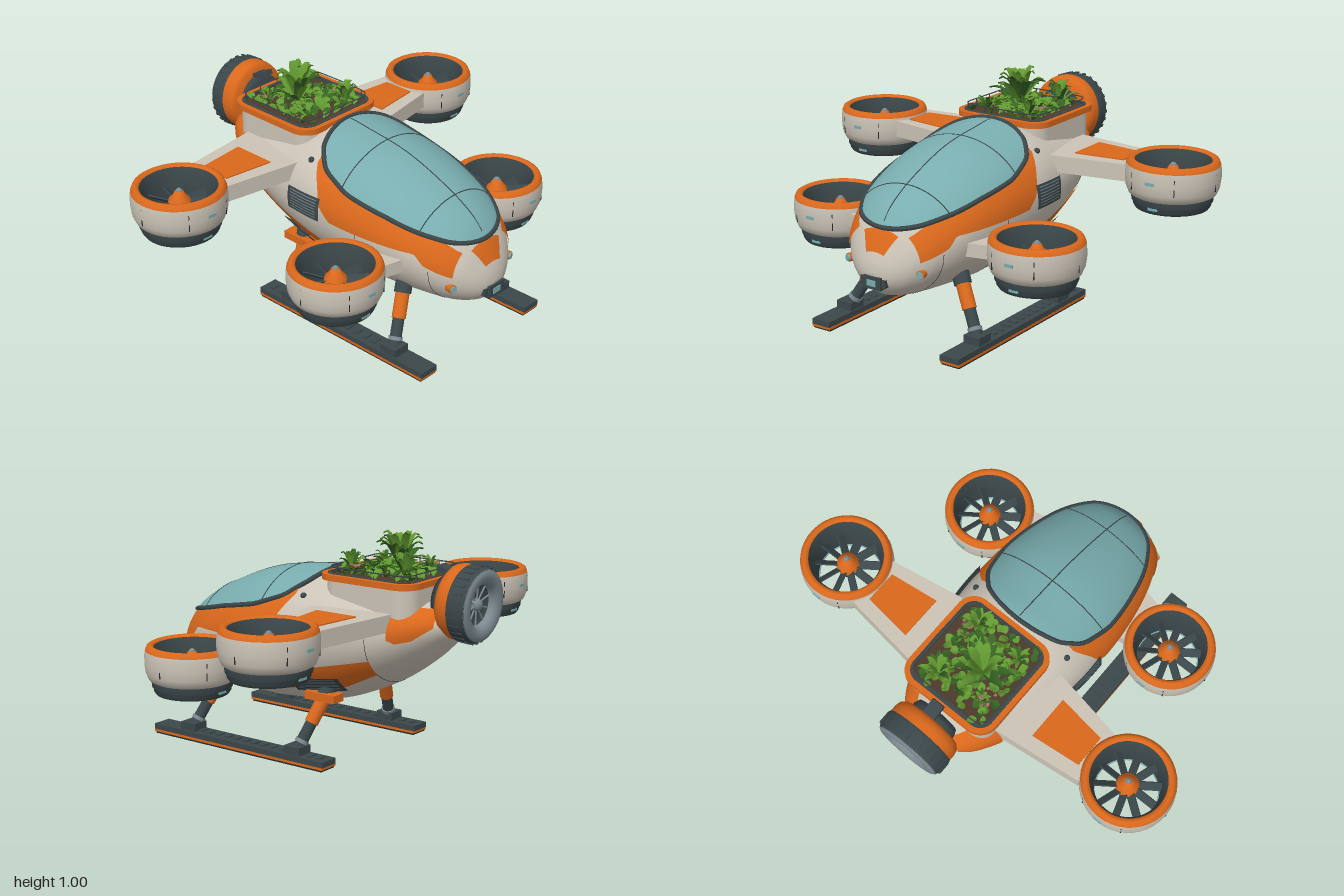
import * as THREE from 'three';
import { mergeGeometries, mergeVertices } from 'three/addons/utils/BufferGeometryUtils.js';

const V = (x, y, z) => new THREE.Vector3(x, y, z), { lerp, clamp } = THREE.MathUtils, PI = Math.PI;
const count = (n, f) => Array.from({ length: n }, (_, i) => f(i));
const paint = (name, color) => new THREE.MeshStandardMaterial({ name, color, side: THREE.DoubleSide });
const M = {
  cream: paint('cream', 0xcbc3b6), orange: paint('orange', 0xda681c), dark: paint('dark slate', 0x3b474a),
  black: paint('seam black', 0x23292b), glass: paint('teal glass', 0x79adaf), steel: paint('steel', 0x7c8a90),
  soil: paint('soil', 0x4d3a2b), leaf: paint('leaf green', 0x629a30), deep: paint('deep green', 0x376424), bloom: paint('bloom', 0xb8656b),
};

// Hull sections: z, bottom, widest height, top, half width
const S = [
  [-0.69, 0.639, 0.64, 0.641, 0.002], [-0.68, 0.59, 0.64, 0.68, 0.08], [-0.63, 0.535, 0.635, 0.715, 0.15],
  [-0.55, 0.46, 0.62, 0.735, 0.21], [-0.4, 0.355, 0.585, 0.755, 0.275], [-0.2, 0.26, 0.56, 0.79, 0.315],
  [-0.06, 0.215, 0.55, 0.815, 0.33], [0.05, 0.2, 0.54, 0.805, 0.335], [0.28, 0.185, 0.51, 0.77, 0.325],
  [0.5, 0.2, 0.47, 0.69, 0.285], [0.65, 0.218, 0.42, 0.605, 0.225], [0.72, 0.24, 0.39, 0.525, 0.168],
  [0.76, 0.268, 0.365, 0.45, 0.11], [0.782, 0.305, 0.35, 0.395, 0.055], [0.79, 0.349, 0.35, 0.351, 0.002],
];
// Smoothly interpolated section values at z
function section(z) {
  const i = Math.max(S.findLastIndex((r, k) => z > r[0] && k < S.length - 1), 0), [A, B] = [S[i], S[i + 1]];
  const P = S[Math.max(i - 1, 0)], N = S[Math.min(i + 2, S.length - 1)], h = B[0] - A[0], t = clamp((z - A[0]) / h, 0, 1);
  return [1, 2, 3, 4].map((k) => {
    const m0 = h * (B[k] - P[k]) / (B[0] - P[0]), m1 = h * (N[k] - A[k]) / (N[0] - A[0]), d = A[k] - B[k];
    return A[k] + t * (m0 + t * (-3 * d - 2 * m0 - m1 + t * (2 * d + m0 + m1)));
  });
}
// Hull point at z and angle, lifted along the normal
function hull(z, a, off = 0) {
  const [b, m, t, w] = section(z), c = Math.cos(a), s = Math.sin(a), e = 0.003;
  const p = V(w * Math.sign(c) * Math.abs(c) ** (s < 0 ? 1.15 : 1), m + s * (s > 0 ? t - m : m - b), z);
  if (!off) return p;
  const da = hull(z, a + e).sub(hull(z, a - e)), dz = hull(z + e, a).sub(hull(z - e, a));
  return p.addScaledVector(da.cross(dz).normalize(), off);
}
function angleAt(z, y) {
  const [b, m, t] = section(z);
  return Math.asin(clamp((y - m) / (y > m ? t - m : m - b), -1, 1));
}
// Piecewise linear value through [z, y] points, z falling
function along(pts, z) {
  const i = Math.max(pts.findLastIndex((p, k) => z < p[0] && k < pts.length - 1), 0), [a, b] = [pts[i], pts[i + 1]];
  return lerp(a[1], b[1], clamp((z - a[0]) / (b[0] - a[0]), 0, 1));
}
// Grid surface from f(u, v)
function sheet(nu, nv, f) {
  const g = new THREE.PlaneGeometry(1, 1, nu, nv), p = g.attributes.position;
  for (let i = 0; i < p.count; i++) p.setXYZ(i, ...f(p.getX(i) + 0.5, p.getY(i) + 0.5));
  g.deleteAttribute('uv');
  g.computeVertexNormals();
  return g;
}

export function createModel() {
  const root = new THREE.Group();
  const add = (name, geo, mat, pos = [0, 0, 0], parent = root) => {
    const m = new THREE.Mesh(geo, mat);
    m.name = name;
    m.position.set(...pos);
    parent.add(m);
    return m;
  };
  const box = (name, mat, size, pos, parent) => add(name, new THREE.BoxGeometry(...size), mat, pos, parent);
  const lathe = (name, mat, pts, parent) =>
    add(name, new THREE.LatheGeometry(pts.map((p) => new THREE.Vector2(...p)), 40), mat, [0, 0, 0], parent);
  const rod = (name, mat, a, b, r, parent) => {
    const d = b.clone().sub(a), g = new THREE.CylinderGeometry(r, r, d.length(), 14);
    add(name, g, mat, a.clone().lerp(b, 0.5), parent).quaternion.setFromUnitVectors(V(0, 1, 0), d.normalize());
  };
  const tube = (name, mat, pts, r, closed = false) =>
    add(name, new THREE.TubeGeometry(new THREE.CatmullRomCurve3(pts, closed), pts.length * 2, r, 6, closed), mat);
  const hullPanel = (name, mat, s, lo, hi, off = 0.006) => add(name, sheet(8, 40, (u, v) => {
    const z = lerp(lo[0][0], lo[lo.length - 1][0], v), y = lerp(along(lo, z), along(hi, z), u);
    return hull(z, angleAt(z, y), off).multiply(V(s, 1, 1));
  }), mat);

  // Hull
  const rows = (S.length - 1) * 6;
  const hullGeo = mergeVertices(sheet(64, rows, (u, v) => {
    const r = Math.round(v * rows), k = Math.min(Math.floor(r / 6), S.length - 2);
    return hull(lerp(S[k][0], S[k + 1][0], r / 6 - k), u * PI * 2 - PI / 2);
  }).deleteAttribute('normal'), 1e-5);
  hullGeo.computeVertexNormals();
  add('hull', hullGeo, M.cream);

  // Canopy with rim and frame lines
  const rim = [[0.718, 0.528], [0.68, 0.542], [0.6, 0.565], [0.4, 0.615], [0.2, 0.655], [0.06, 0.705], [-0.02, 0.765], [-0.065, 0.815]];
  const canopyZ = (v) => lerp(0.718, -0.065, (1 - Math.cos(v * PI)) / 2), rimAngle = (z) => angleAt(z, along(rim, z));
  const acrossCanopy = (z, u) => hull(z, lerp(rimAngle(z), PI - rimAngle(z), u), 0.008);
  add('canopy', sheet(32, 48, (u, v) => acrossCanopy(canopyZ(v), u)), M.glass);
  tube('canopyRim', M.dark, count(64, (i) => acrossCanopy(canopyZ(i < 32 ? i / 32 : 2 - i / 32), i < 32 ? 0 : 1)), 0.011, true);
  tube('canopySpine', M.dark, count(17, (i) => hull(lerp(0.7, -0.05, i / 16), PI / 2, 0.008)), 0.0025);
  for (const z of [0.17, 0.55]) tube('canopyRib', M.dark, count(17, (i) => acrossCanopy(z, i / 16)), 0.0025);
  for (const z of [0.62, 0.28, -0.38]) tube('hullSeam', M.black, count(17, (i) => hull(z, -PI * i / 16)), 0.0012);

  // Nose plate and sensor
  add('nosePlate', sheet(10, 10, (u, v) => {
    const z = lerp(0.72, 0.766, v), x = (2 * u - 1) * lerp(0.088, 0.045, v);
    return hull(z, Math.acos(x / section(z)[3]), 0.006);
  }), M.orange);
  box('noseSensor', M.dark, [0.09, 0.055, 0.05], [0, 0.312, 0.772]);
  box('noseSensorBar', M.dark, [0.13, 0.034, 0.04], [0, 0.314, 0.768]);
  box('noseLens', M.glass, [0.045, 0.026, 0.006], [0, 0.312, 0.798]);

  for (const s of [1, -1]) {
    // Painted hull panels
    hullPanel('cheekPanel', M.orange, s, [[0.705, 0.41], [0.6, 0.455], [0.56, 0.5], [0.14, 0.515], [0.08, 0.57], [0.06, 0.63], [0, 0.72]],
      [[0.705, 0.505], [0.66, 0.54], ...rim.slice(2, 7)]);
    hullPanel('lowerStripe', M.orange, s, [[0.06, 0.295], [-0.22, 0.335], [-0.385, 0.415]], [[0.06, 0.385], [-0.385, 0.485]]);
    hullPanel('tailPanel', M.orange, s, [[-0.47, 0.585], [-0.5, 0.57], [-0.56, 0.585], [-0.635, 0.64]], [[-0.47, 0.68], [-0.54, 0.71], [-0.635, 0.705]]);
    // Louvred vents
    for (const [z0, z1, y0, y1, h] of [[0.09, -0.1, 0.505, 0.505, 0.1], [0.01, -0.22, 0.3, 0.325, 0.065]]) {
      hullPanel('vent', M.dark, s, [[z0, y0], [z1, y1]], [[z0, y0 + h], [z1, y1 + h]], 0.016);
      for (let d = 0.12; d < 0.9; d += 0.125) {
        const line = (k) => [[z0 - 0.018, y0 + h * k], [z1 + 0.018, y1 + h * k]];
        hullPanel('ventSlat', M.steel, s, line(d), line(d + 0.04), 0.018);
      }
    }
    // Headlamp and side boss
    const { x: lx } = hull(0.7, angleAt(0.7, 0.36)), boss = hull(-0.04, angleAt(-0.04, 0.72));
    rod('headlampRing', M.orange, V(s * lx, 0.36, 0.685), V(s * (lx + 0.007), 0.36, 0.715), 0.019);
    rod('headlamp', M.glass, V(s * lx, 0.36, 0.7), V(s * (lx + 0.009), 0.36, 0.722), 0.015);
    add('sideBoss', new THREE.SphereGeometry(0.014, 12, 8), M.dark, [s * boss.x, boss.y, boss.z]);

    // Tapered wing beams
    for (const [name, mat, x0, x1, y0, y1, zi, zo] of [
      ['rearWing', M.cream, 0.18, 0.63, 0.615, 0.69, [-0.48, -0.09], [-0.425, -0.17]],
      ['rearWingPanel', M.orange, 0.355, 0.585, 0.688, 0.695, [-0.395, -0.19], [-0.37, -0.22]],
      ['frontWing', M.cream, 0.2, 0.37, 0.4, 0.46, [0.24, 0.53], [0.27, 0.49]]]) {
      const g = new THREE.BoxGeometry(1, y1 - y0, 1), p = g.attributes.position;
      for (let i = 0; i < p.count; i++) {
        const t = p.getX(i) * s + 0.5, k = p.getZ(i) + 0.5;
        p.setXYZ(i, s * lerp(x0, x1, t), p.getY(i) + (y0 + y1) / 2, lerp(lerp(...zi, k), lerp(...zo, k), t));
      }
      g.computeVertexNormals();
      add(name, g, mat);
    }

    // Ducted rotors
    for (const [name, x, y, z] of [['frontRotor', 0.525, 0.285, 0.364], ['rearRotor', 0.79, 0.507, -0.29]]) {
      const r = new THREE.Group();
      r.name = name;
      r.position.set(s * x, y, z);
      root.add(r);
      lathe('rotorShell', M.cream, [[0.172, 0.056], [0.19, 0.066], [0.202, 0.095], [0.207, 0.135], [0.206, 0.175], [0.203, 0.194]], r);
      lathe('rotorLip', M.orange, [[0.203, 0.193], [0.196, 0.211], [0.184, 0.218], [0.172, 0.215], [0.166, 0.207]], r);
      lathe('rotorDuct', M.dark, [[0.167, 0.208], [0.152, 0.17], [0.142, 0.1], [0.142, 0.008], [0.146, 0]], r);
      lathe('rotorSkirt', M.dark, [[0.146, 0], [0.16, 0], [0.168, 0.012], [0.17, 0.025], [0.176, 0.032], [0.178, 0.058]], r);
      add('rotorGlowRing', new THREE.TorusGeometry(0.142, 0.005, 6, 40), M.glass, [0, 0.012, 0], r).rotation.x = PI / 2;
      lathe('rotorHub', M.orange, [[0.001, 0.185], [0.018, 0.182], [0.026, 0.165], [0.045, 0.145], [0.052, 0.115]], r);
      lathe('rotorHubBase', M.dark, [[0.052, 0.115], [0.048, 0.085], [0.001, 0.075]], r);
      add('hubCap', new THREE.SphereGeometry(0.015, 12, 8), M.steel, [0, 0.18, 0], r);
      for (let a = 0; a < 6.2; a += PI / 5)
        box('rotorBlade', M.dark, [0.1, 0.006, 0.04], [Math.cos(a) * 0.094, 0.12, -Math.sin(a) * 0.094], r).rotation.set(0.75, a, 0, 'YXZ');
      for (const f of [1, -1]) {
        box('shellLight', M.glass, [0.04, 0.014, 0.006], [0, 0.145, f * 0.207], r);
        box('skirtLight', M.glass, [0.045, 0.012, 0.006], [0, 0.025, f * 0.171], r);
      }
      for (let a = PI / 6; a < 6.2; a += PI / 3)
        box('shellSeam', M.black, [0.004, 0.075, 0.004], [Math.sin(a) * 0.204, 0.135, Math.cos(a) * 0.204], r).rotation.y = a;
    }

    // Landing skid and legs
    box('skidSole', M.black, [0.09, 0.008, 0.96], [s * 0.343, 0.004, 0.242]);
    box('skidStripe', M.orange, [0.096, 0.011, 0.97], [s * 0.343, 0.0135, 0.242]);
    box('skidRail', M.dark, [0.094, 0.025, 0.975], [s * 0.343, 0.0315, 0.242]);
    for (let i = 0; i < 15; i++) box('skidTread', M.dark, [0.04, 0.006, 0.022], [s * 0.343, 0.047, -0.2 + i * 0.052]);
    for (const [zf, zt, yt] of [[0.53, 0.465, 0.28], [-0.07, -0.13, 0.29]]) {
      const at = (t) => V(s * 0.345, 0.05, zf).lerp(V(s * 0.215, yt, zt), t);
      box('legFoot', M.dark, [0.08, 0.04, 0.085], [s * 0.343, 0.06, zf]);
      for (const [name, mat, t0, t1, r] of [['legLower', M.dark, 0, 0.55, 0.026], ['legCollar', M.steel, 0.15, 0.21, 0.031],
        ['legUpper', M.orange, 0.5, 0.95, 0.031], ['legSocket', M.dark, 0.9, 1.12, 0.038]]) rod(name, mat, at(t0), at(t1), r);
    }
    box('legMount', M.orange, [0.07, 0.035, 0.16], [s * 0.23, 0.285, -0.13]);
  }

  // Planter
  const outline = (T, w, d, q) => new T().absarc(w - q, d - q, q, 0, PI / 2).absarc(q - w, d - q, q, PI / 2, PI)
    .absarc(q - w, q - d, q, PI, PI * 1.5).absarc(w - q, q - d, q, PI * 1.5, PI * 2);
  for (const [name, mat, hw, hd, r, y0, y1, wall] of [
    ['planterTub', M.cream, 0.219, 0.229, 0.08, 0.6, 0.798, 0], ['planterRim', M.orange, 0.238, 0.245, 0.085, 0.796, 0.822, 0.024],
    ['planterLiner', M.dark, 0.214, 0.221, 0.061, 0.796, 0.825, 0.015], ['soilBed', M.soil, 0.2, 0.207, 0.048, 0.796, 0.815, 0]]) {
    const shape = outline(THREE.Shape, hw, hd, r);
    if (wall) shape.holes.push(outline(THREE.Path, hw - wall, hd - wall, r - wall));
    const g = new THREE.ExtrudeGeometry(shape, { depth: y1 - y0, bevelEnabled: false, curveSegments: 8 });
    add(name, g.rotateX(-PI / 2), mat, [0, y0, -0.33]);
  }
  const rail = outline(THREE.Path, 0.2, 0.207, 0.05).getSpacedPoints(48).slice(0, 48).map((p) => V(p.x, 0.85, p.y - 0.33));
  tube('railing', M.dark, rail, 0.0028, true);
  for (let i = 0; i < 48; i += 4) rod('railPost', M.dark, rail[i].clone().setY(0.815), rail[i], 0.0028);

  // Plants
  let seed = 7;
  const rnd = () => (seed = (seed * 16807) % 2147483647) / 2147483647, sets = { leaf: [], deep: [], bloom: [] };
  const frond = (set, x, y, z, turn, len, rise, wide) => sets[set].push(sheet(2, 5, (u, v) => {
    const c = Math.cos(turn), q = Math.sin(turn), w = (u - 0.5) * wide * Math.sin(PI * (0.08 + 0.92 * v)), d = len * v;
    return V(x + c * d - q * w, y + rise * Math.sin(v * 1.9) + Math.abs(u - 0.5) * wide * 0.3, z + q * d + c * w);
  }));
  for (let i = 0; i < 210; i++)
    frond(i % 3 ? 'leaf' : 'deep', (rnd() - 0.5) * 0.34, 0.815, -0.33 + (rnd() - 0.5) * 0.37, rnd() * 6.28, 0.025 + rnd() * 0.022, 0.01 + rnd() * 0.025, 0.036);
  for (const [x, z, h, n] of [[-0.04, -0.34, 0.18, 20], [0.11, -0.19, 0.1, 13], [-0.12, -0.2, 0.08, 10], [0.1, -0.46, 0.115, 13], [-0.12, -0.44, 0.07, 10]])
    for (let i = 0; i < n; i++) {
      const lift = 0.45 + rnd() * 0.55;
      frond(i % 5 < 3 ? 'leaf' : 'deep', x, 0.815, z, i * 2.4, h * (1.1 - lift * 0.7), h * lift, h * 0.25);
    }
  for (let i = 0; i < 24; i++) {
    const k = i % 2 ? 1 : -1;
    frond('bloom', k * (0.1 + rnd() * 0.06), 0.848, -0.33 + k * 0.1 + (rnd() - 0.5) * 0.08, rnd() * 6, 0.016, 0.008, 0.014);
  }
  for (const k in sets) add(k + 'Plants', mergeGeometries(sets[k]), M[k]);

  // Tail thruster
  const tail = new THREE.Group();
  tail.name = 'tailThruster';
  tail.position.set(0, 0.737, -0.635);
  tail.rotation.x = -PI / 2 - 0.06;
  root.add(tail);
  lathe('thrusterNeck', M.dark, [[0.001, -0.045], [0.1, -0.045], [0.11, -0.02], [0.11, 0.01]], tail);
  lathe('thrusterCowl', M.orange, [[0.1, -0.005], [0.14, 0], [0.156, 0.015], [0.162, 0.04], [0.162, 0.072]], tail);
  lathe('thrusterTyre', M.dark, [[0.162, 0.07], [0.166, 0.078], [0.165, 0.115], [0.157, 0.145], [0.152, 0.152]], tail);
  lathe('thrusterRing', M.steel, [[0.154, 0.15], [0.142, 0.159], [0.122, 0.161], [0.102, 0.154], [0.09, 0.14], [0.088, 0.12]], tail);
  lathe('thrusterWell', M.dark, [[0.089, 0.125], [0.085, 0.1], [0.001, 0.1]], tail);
  lathe('thrusterHub', M.steel, [[0.026, 0.1], [0.026, 0.125], [0.018, 0.138], [0.001, 0.14]], tail);
  for (let a = 0; a < 6.2; a += PI / 14)
    box('tyreLug', M.dark, [0.014, 0.055, 0.005], [Math.sin(a) * 0.165, 0.108, Math.cos(a) * 0.165], tail).rotation.y = a;
  for (let a = 0; a < 6.2; a += PI / 5)
    rod('thrusterSpoke', M.steel, V(0, 0.115, 0), V(Math.sin(a) * 0.09, 0.12, Math.cos(a) * 0.09), 0.004, tail);
  box('thrusterBrace', M.dark, [0.06, 0.022, 0.09], [0, 0.857, -0.615]).rotation.x = -0.35;
  return root;
}
